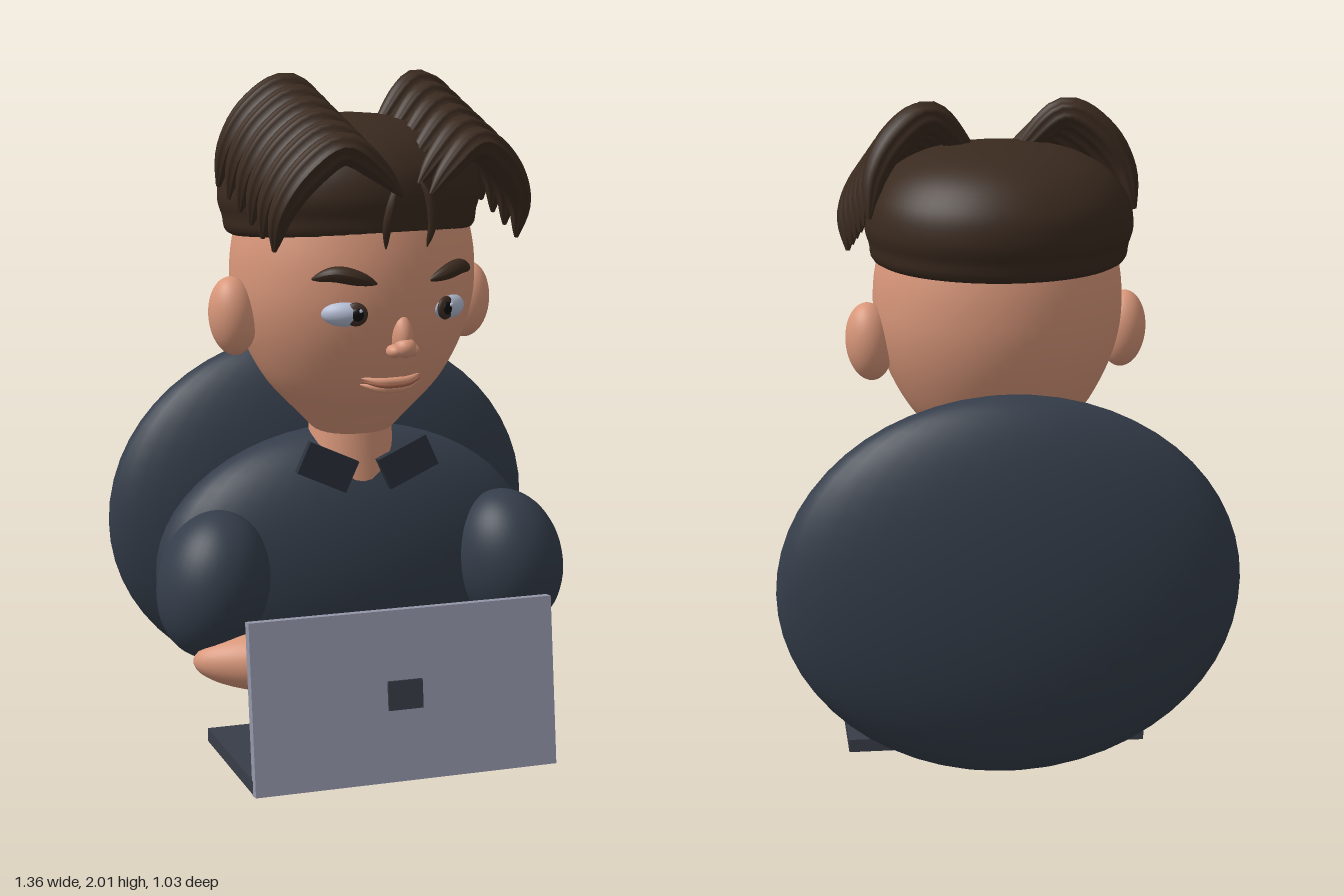
import * as THREE from 'three';

const mat = (name, color) => {
  const m = new THREE.MeshStandardMaterial({ color });
  m.name = name;
  return m;
};

export function createModel() {
  const skin = mat('skin', 0xd9977a);
  const hair = mat('hair', 0x3a2a1f);
  const cloth = mat('cloth', 0x343d4a);
  const collarMat = mat('collar cloth', 0x2b323c);
  const lidMat = mat('lid metal', 0x9597aa);
  const darkMetal = mat('dark metal', 0x393d48);
  const eyeWhite = mat('eye white', 0xb4bdd4);
  const iris = mat('iris', 0x3d2c24);
  const black = mat('black', 0x0c0c0e);
  const lip = mat('lip', 0xa9674f);

  const model = new THREE.Group();
  const add = (parent, name, geo, material, pos = [0, 0, 0], rot = [0, 0, 0]) => {
    const mesh = new THREE.Mesh(geo, material);
    mesh.name = name;
    mesh.position.set(...pos);
    mesh.rotation.set(...rot);
    parent.add(mesh);
    return mesh;
  };
  const ball = (parent, name, material, pos, radii, rot) => {
    const mesh = add(parent, name, new THREE.SphereGeometry(1, 40, 28), material, pos, rot);
    mesh.scale.set(...radii);
    return mesh;
  };
  const curveOf = pts => new THREE.CatmullRomCurve3(pts.map(p => new THREE.Vector3(...p)));
  const lathe = pts => new THREE.LatheGeometry(
    new THREE.SplineCurve(pts.map(p => new THREE.Vector2(...p))).getPoints(40)
      .map(p => new THREE.Vector2(Math.max(0, p.x), p.y)), 56);

  // Tube that tapers at both ends, with optional ridges along its length
  const taperedTube = (pts, radius, ridge = 0, sides = 32) => {
    const steps = 26;
    const curve = curveOf(pts);
    const geo = new THREE.TubeGeometry(curve, steps, radius, sides);
    const pos = geo.attributes.position;
    const v = new THREE.Vector3();
    for (let i = 0; i <= steps; i++) {
      const centre = curve.getPointAt(i / steps);
      const taper = Math.max(0.03, Math.sin(Math.PI * i / steps)) ** 0.6;
      for (let j = 0; j <= sides; j++) {
        const k = i * (sides + 1) + j;
        const f = taper * (1 + ridge * Math.cos(j / sides * Math.PI * 16));
        v.fromBufferAttribute(pos, k).sub(centre).multiplyScalar(f).add(centre);
        pos.setXYZ(k, v.x, v.y, v.z);
      }
    }
    geo.computeVertexNormals();
    return geo;
  };

  // Body
  ball(model, 'back', cloth, [0, 0.63, -0.325], [0.68, 0.57, 0.19]);
  ball(model, 'torso', cloth, [0, 0.52, -0.05], [0.6, 0.428, 0.22]);
  add(model, 'neck', new THREE.CylinderGeometry(0.12, 0.14, 0.3, 32), skin, [0, 0.88, -0.02]);
  for (const s of [1, -1]) {
    const side = s > 0 ? 'left' : 'right';
    ball(model, side + 'Arm', cloth, [s * 0.467, 0.525, 0.11], [0.165, 0.22, 0.178], [0, 0, s * 0.2]);
    ball(model, side + 'Hand', skin, [s * 0.3, 0.323, 0.29], [0.27, 0.088, 0.09], [0, s * 0.35, 0]);
    add(model, side + 'Collar', new THREE.BoxGeometry(0.165, 0.1, 0.025), collarMat,
      [s * 0.125, 0.86, 0.143], [0, 0, s * 0.43]);
  }

  // Laptop
  const laptop = new THREE.Group();
  laptop.name = 'laptop';
  model.add(laptop);
  add(laptop, 'laptopBase', new THREE.BoxGeometry(0.92, 0.04, 0.49), darkMetal, [0, 0.025, 0.245]);
  const lid = new THREE.Group();
  lid.name = 'laptopLid';
  lid.position.set(0, 0.25, 0.471);
  lid.rotation.x = -0.125;
  laptop.add(lid);
  add(lid, 'lidPanel', new THREE.BoxGeometry(0.92, 0.498, 0.035), lidMat);
  add(lid, 'lidPlate', new THREE.BoxGeometry(0.105, 0.085, 0.009), darkMetal, [-0.003, 0.003, 0.021]);

  // Head, turned a little to its left
  const head = new THREE.Group();
  head.name = 'head';
  head.rotation.y = 0.14;
  model.add(head);
  add(head, 'skull', lathe([[0, 0.885], [0.09, 0.925], [0.18, 1.012], [0.262, 1.1], [0.32, 1.2],
    [0.356, 1.3], [0.37, 1.4], [0.362, 1.52], [0.32, 1.65], [0.2, 1.77], [0, 1.82]]), skin)
    .scale.z = 0.915;

  // Hair cap with a flat, slightly raised front edge
  const cap = add(head, 'hairCap', lathe([[0, 0], [0.18, 0], [0.355, 0], [0.385, 0.06], [0.397, 0.12],
    [0.375, 0.2], [0.3, 0.28], [0.18, 0.33], [0, 0.35]]), hair, [0, 1.538, -0.015], [-0.045, 0, 0]);
  cap.scale.z = 0.9;

  for (const s of [1, -1]) {
    const side = s > 0 ? 'left' : 'right';

    // Locks arching from the parting over the side of the head
    for (let i = 0; i < 6; i++) {
      const t = i / 5;
      const z = 0.005 + 0.365 * t;
      const arch = [
        [s * 0.045, 1.79 - 0.11 * t, z + 0.035],
        [s * 0.11, 1.88 - 0.13 * t, z + 0.022],
        [s * 0.21, 1.96 - 0.145 * t, z],
        [s * 0.31, 1.9 - 0.15 * t, z - 0.022],
        [s * (0.375 + 0.005 * t), 1.8 - 0.16 * t, z - 0.045],
        [s * (0.4 - 0.01 * t), 1.68 - 0.15 * t, z - 0.075],
      ];
      add(head, side + 'Lock', taperedTube(arch, 0.046, 0.09), hair);
    }
    add(head, side + 'Wisp', taperedTube([[s * 0.035, 1.72, 0.36], [s * 0.06, 1.66, 0.372],
      [s * 0.072, 1.59, 0.365], [s * 0.066, 1.525, 0.345]], 0.014, 0, 10), hair);

    // Ear, eye and brow
    ball(head, side + 'Ear', skin, [s * 0.388, 1.31, 0], [0.07, 0.116, 0.077], [0, 0, s * -0.08]);
    ball(head, side + 'Eye', eyeWhite, [s * 0.165, 1.34, 0.282], [0.068, 0.038, 0.04], [0, s * 0.45, 0]);
    ball(head, side + 'Iris', iris, [s * 0.145, 1.34, 0.315], [0.034, 0.034, 0.014], [0, s * 0.4, 0]);
    ball(head, side + 'Pupil', black, [s * 0.146, 1.34, 0.325], [0.019, 0.019, 0.008], [0, s * 0.4, 0]);
    ball(head, side + 'EyeGlint', eyeWhite, [s * 0.147 + 0.009, 1.35, 0.331], [0.006, 0.006, 0.005]);
    const brow = add(head, side + 'Brow', taperedTube([[s * 0.085, 1.425, 0.328], [s * 0.14, 1.443, 0.322],
      [s * 0.2, 1.455, 0.295], [s * 0.255, 1.44, 0.255]], 0.024, 0, 12), hair);
    brow.renderOrder = 0;
    ball(head, side + 'Nostril', skin, [s * 0.026, 1.227, 0.325], [0.024, 0.02, 0.03]);
  }

  // Nose and mouth
  ball(head, 'noseBridge', skin, [0, 1.27, 0.318], [0.03, 0.062, 0.04], [-0.15, 0, 0]);
  ball(head, 'noseTip', skin, [0, 1.238, 0.34], [0.032, 0.03, 0.034]);
  const mouth = (y, z) => [[-0.095, y + 0.008, z - 0.028], [-0.045, y - 0.003, z - 0.004],
    [0, y - 0.005, z], [0.045, y - 0.003, z - 0.004], [0.095, y + 0.008, z - 0.028]];
  add(head, 'upperLip', taperedTube(mouth(1.133, 0.277), 0.014, 0, 12), skin);
  add(head, 'lowerLip', taperedTube(mouth(1.113, 0.268), 0.015, 0, 12), skin);
  add(head, 'mouthLine', taperedTube(mouth(1.124, 0.284), 0.008, 0, 10), lip);

  return model;
}
